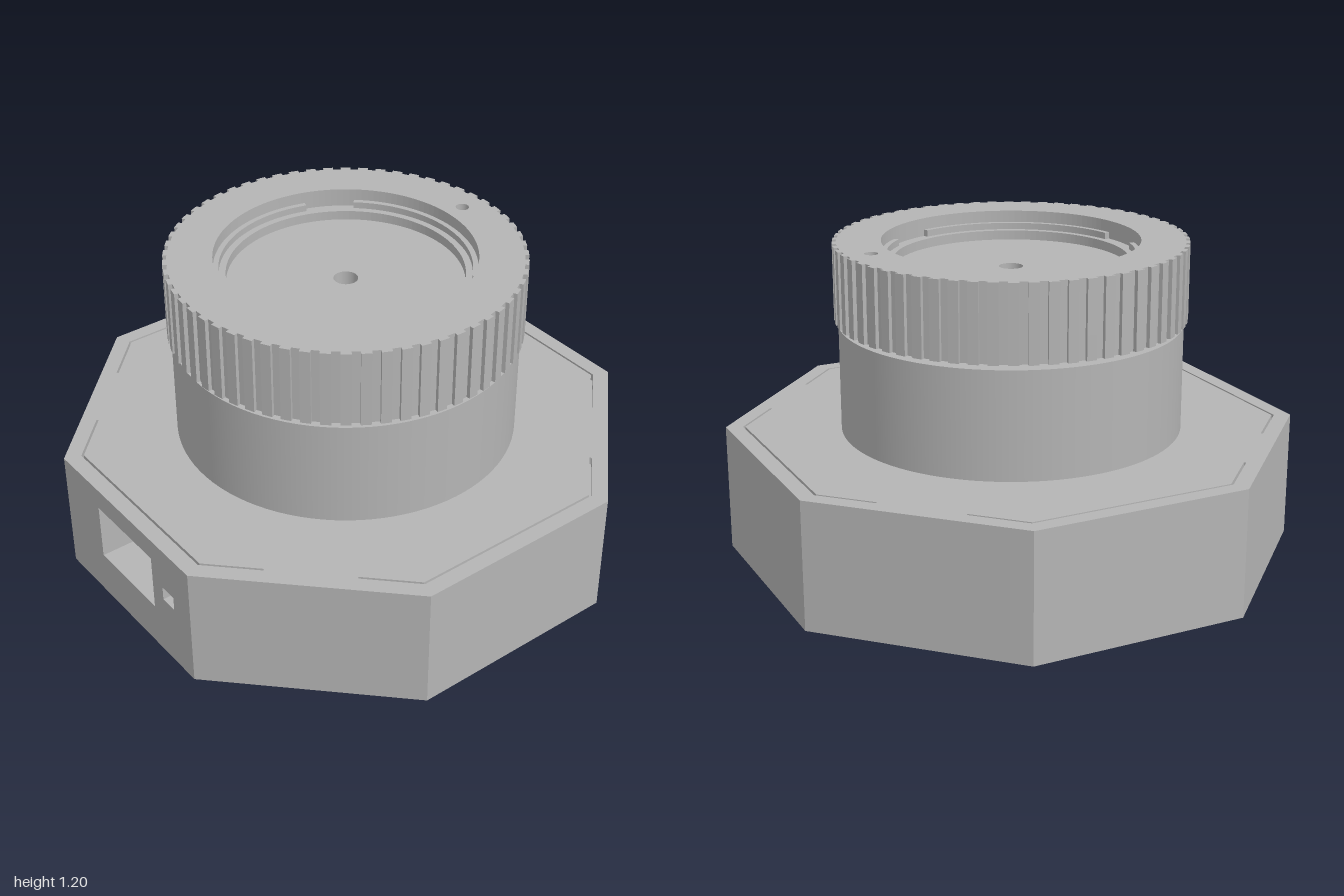
import * as THREE from 'three';

const grey = new THREE.MeshStandardMaterial({ color: 0xb4b4b4 });
grey.name = 'grey plastic';

// Horizontal slab between two heights; shape coordinates are (x, z)
function slab(name, shape, y0, y1) {
  const geo = new THREE.ExtrudeGeometry(shape, { depth: y1 - y0, bevelEnabled: false, curveSegments: 64 });
  geo.rotateX(Math.PI / 2).translate(0, y1, 0);
  const mesh = new THREE.Mesh(geo, grey);
  mesh.name = name;
  return mesh;
}

function outline(points) {
  return new THREE.Shape(points.map(([x, z]) => new THREE.Vector2(x, z)));
}

function circle(x, z, r) {
  return new THREE.Path().absarc(x, z, r, 0, Math.PI * 2, true);
}

// Octagon with rectangular notches [x0, x1, depth] in its front edge
function octagon(notches = [], holes = []) {
  const a = 0.414;
  const pts = [[a, 1], [1, a], [1, -a], [a, -1], [-a, -1], [-1, -a], [-1, a], [-a, 1]];
  for (const [x0, x1, d] of notches) pts.push([x0, 1], [x0, 1 - d], [x1, 1 - d], [x1, 1]);
  const shape = outline(pts);
  shape.holes.push(...holes);
  return shape;
}

// Round hole running into a narrow slot toward the front
function keyhole(x, z) {
  const r = 0.065, w = 0.028, a = Math.asin(w / r);
  const path = new THREE.Path();
  path.absarc(x, z, r, Math.PI / 2 + a, Math.PI / 2 - a + Math.PI * 2, false);
  path.lineTo(x + w, z + 0.12);
  path.absarc(x, z + 0.12, w, 0, Math.PI, false);
  path.closePath();
  return path;
}

// Fine lid seams: one open strip per straight side, stopping short of the screws
function seams() {
  const strip = [[-0.55, -0.78], [-0.39, -0.94], [0.39, -0.94], [0.55, -0.78]];
  const ring = [...strip, ...strip.map(([x, z]) => [x * 0.991, z * 0.991]).reverse()];
  return [0, 1, 2, 3].map((i) => {
    const c = [1, 0, -1, 0][i], s = [0, 1, 0, -1][i];
    return new THREE.Path(ring.map(([x, z]) => new THREE.Vector2(c * x - s * z, s * x + c * z)));
  });
}

// Knob outline with square ridges
function ridged(holes = []) {
  const n = 60, pts = [];
  for (let i = 0; i < n; i++) {
    for (const [f, r] of [[0, 0.645], [0, 0.66], [0.55, 0.66], [0.55, 0.645]]) {
      const t = ((i + f) / n) * Math.PI * 2;
      pts.push([r * Math.cos(t), r * Math.sin(t)]);
    }
  }
  const shape = outline(pts);
  shape.holes.push(...holes);
  return shape;
}

function cylinder(name, r, y0, y1) {
  const mesh = new THREE.Mesh(new THREE.CylinderGeometry(r, r, y1 - y0, 96), grey);
  mesh.position.y = (y0 + y1) / 2;
  mesh.name = name;
  return mesh;
}

export function createModel() {
  const model = new THREE.Group();
  model.name = 'dial on octagonal box';

  // Octagonal box, layered around its openings
  const base = new THREE.Group();
  base.name = 'base';
  const port = [-0.18, 0.175, 0.16], socket = [0.24, 0.31, 0.1];
  const screws = [[1, 1], [1, -1], [-1, 1], [-1, -1]].map(([x, z]) => circle(x * 0.64, z * 0.64, 0.027));
  base.add(
    slab('bottomPlate', octagon([], [keyhole(0.45, 0.8), keyhole(0.45, -0.78)]), 0, 0.075),
    slab('lowerWall', octagon(), 0.075, 0.175),
    slab('portLowerWall', octagon([port]), 0.175, 0.255),
    slab('socketWall', octagon([port, socket]), 0.255, 0.31),
    slab('portUpperWall', octagon([port]), 0.31, 0.37),
    slab('portTopWall', octagon([[port[0], port[1], 0.25]]), 0.37, 0.4),
    slab('upperWall', octagon(), 0.4, 0.455),
    slab('lid', octagon([], [...screws, ...seams()]), 0.455, 0.485)
  );

  // Round drum, axle and three spacer tabs under the knob
  const drum = new THREE.Group();
  drum.name = 'drum';
  drum.add(cylinder('drumBody', 0.645, 0.485, 0.89), cylinder('axle', 0.058, 0.89, 0.91));
  for (let i = 0; i < 3; i++) {
    const t = (i * Math.PI * 2) / 3;
    const tab = new THREE.Mesh(new THREE.BoxGeometry(0.065, 0.02, 0.18), grey);
    tab.position.set(0.5 * Math.cos(t), 0.9, 0.5 * Math.sin(t));
    tab.rotation.y = -t;
    tab.name = 'spacerTab';
    drum.add(tab);
  }

  // Ridged knob with a stepped recess, centre hole and marker dimple
  const knob = new THREE.Group();
  knob.name = 'knob';
  knob.add(
    slab('knobBase', ridged(), 0.91, 1.0),
    slab('knobFloor', ridged([circle(0, 0, 0.045)]), 1.0, 1.094),
    slab('knobStep', ridged([circle(0, 0, 0.435)]), 1.094, 1.13),
    slab('knobRim', ridged([circle(0, 0, 0.48), circle(0, -0.555, 0.025)]), 1.13, 1.2)
  );

  // Lip inside the recess, broken by three notches
  for (let i = 0; i < 3; i++) {
    const t = Math.PI / 2 + (i * Math.PI * 2) / 3;
    const a = t + 0.2, b = t + (Math.PI * 2) / 3 - 0.2;
    const lip = new THREE.Shape();
    lip.absarc(0, 0, 0.482, a, b, false);
    lip.absarc(0, 0, 0.46, b, a, true);
    lip.closePath();
    knob.add(slab('recessLip', lip, 1.13, 1.155));
  }

  model.add(base, drum, knob);
  return model;
}
